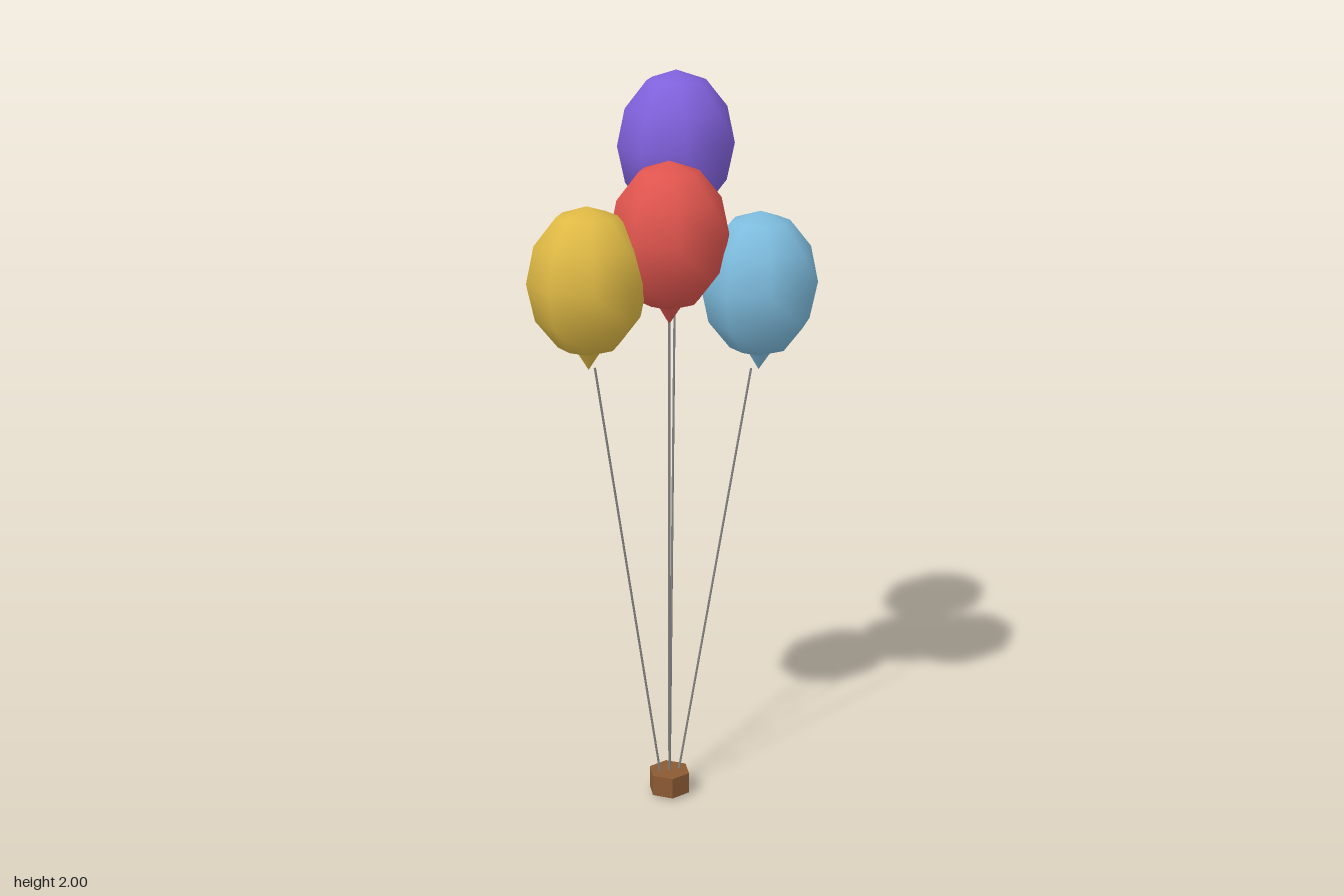
import * as THREE from 'three';

const mat = (name, color) => {
  const m = new THREE.MeshStandardMaterial({ color });
  m.name = name;
  return m;
};

export function createModel() {
  const group = new THREE.Group();
  const add = (parent, name, geometry, material) => {
    const mesh = new THREE.Mesh(geometry, material);
    mesh.name = name;
    parent.add(mesh);
    return mesh;
  };
  const stringMat = mat('string grey', 0x888888);
  const woodMat = mat('weight brown', 0x8b5a34);

  // Hexagonal weight holding the strings
  const weightGeo = new THREE.CylinderGeometry(0.059, 0.059, 0.06, 6).toNonIndexed();
  weightGeo.computeVertexNormals();
  add(group, 'weight', weightGeo, woodMat).position.set(-0.015, 0.038, 0.075);

  // Low-sided balloon skin, and a small cone with its tip down for the knot
  const skinGeo = new THREE.SphereGeometry(0.158, 8, 6).scale(1, 1.25, 1);
  const knotGeo = new THREE.ConeGeometry(0.032, 0.048, 6).rotateX(Math.PI);

  // Straight string between two points
  const addString = (name, from, to) => {
    const a = new THREE.Vector3(...from);
    const dir = new THREE.Vector3(...to).sub(a);
    const mesh = add(group, name, new THREE.CylinderGeometry(0.003, 0.003, dir.length(), 4), stringMat);
    mesh.position.copy(a).addScaledVector(dir, 0.5);
    mesh.quaternion.setFromUnitVectors(new THREE.Vector3(0, 1, 0), dir.normalize());
  };

  // name, colour, balloon centre, string foot, string top
  const balloons = [
    ['red', 0xe0554e, [-0.015, 1.602, 0.075], [-0.015, 0, 0.075], [-0.015, 1.38, 0.075]],
    ['yellow', 0xdfb945, [-0.235, 1.502, 0.125], [-0.033, 0.006, 0.079], [-0.218, 1.27, 0.121]],
    ['blue', 0x7dbbdd, [0.235, 1.452, 0.025], [0.003, 0.006, 0.071], [0.214, 1.222, 0.029]],
    ['purple', 0x8061dc, [0.035, 1.802, -0.125], [-0.012, 0.004, 0.062], [0.031, 1.57, -0.112]],
  ];
  for (const [name, color, centre, foot, top] of balloons) {
    const balloon = new THREE.Group();
    balloon.name = name + 'Balloon';
    balloon.position.set(...centre);
    const material = mat('balloon ' + name, color);
    add(balloon, name + 'Skin', skinGeo, material);
    add(balloon, name + 'Knot', knotGeo, material).position.y = -0.211;
    group.add(balloon);
    addString(name + 'String', foot, top);
  }
  return group;
}
